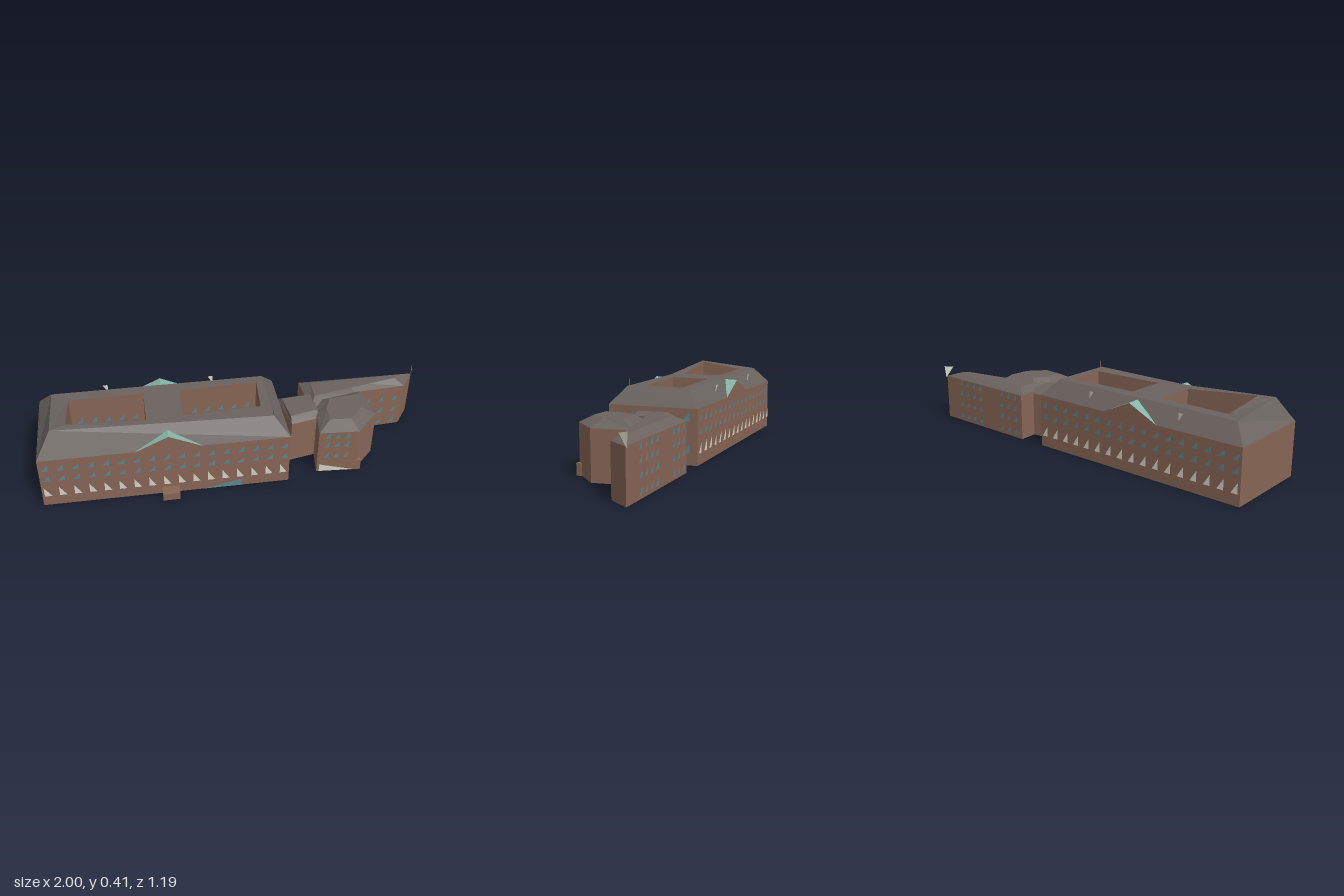
import * as THREE from 'three';

export function createModel() {
  const model = new THREE.Group();
  const mat = (name, color, double) => {
    const m = new THREE.MeshStandardMaterial({ color });
    m.name = name;
    m.flatShading = true;
    if (double) m.side = THREE.DoubleSide;
    return m;
  };
  const brick = mat('brownBrick', 0x876656);
  const slate = mat('greySlate', 0x6a635f);
  const copper = mat('greenCopper', 0x84b5a6, true);
  const glass = mat('blueGlass', 0x5c8791, true);
  const pale = mat('paleGlass', 0xd6d2c4, true);

  // Mesh made of convex polygons, each a list of [x, y, z] corners
  const faces = (parent, name, material, polys) => {
    const pos = [];
    for (const p of polys)
      for (let i = 1; i < p.length - 1; i++) pos.push(...p[0], ...p[i], ...p[i + 1]);
    const g = new THREE.BufferGeometry();
    g.setAttribute('position', new THREE.Float32BufferAttribute(pos, 3));
    g.computeVertexNormals();
    const m = new THREE.Mesh(g, material);
    m.name = name;
    parent.add(m);
    return m;
  };
  const ring = (pts, y) => pts.map(([x, z], i) => [x, Array.isArray(y) ? y[i] : y, z]);
  const band = (low, high) => low.map((p, i) => {
    const j = (i + 1) % low.length;
    return [p, high[i], high[j], low[j]];
  });
  const rev = (a) => [...a].reverse();
  const underside = (parent, name, outline, holes = []) => {
    const v = (a) => a.map(([x, z]) => new THREE.Vector2(x, z));
    const s = new THREE.Shape(v(outline));
    holes.forEach((h) => s.holes.push(new THREE.Path(v(h))));
    const m = new THREE.Mesh(new THREE.ShapeGeometry(s).rotateX(Math.PI / 2), brick);
    m.name = name;
    parent.add(m);
  };
  const box = (parent, name, material, size, at) => {
    const m = new THREE.Mesh(new THREE.BoxGeometry(...size), material);
    m.name = name;
    m.position.set(...at);
    parent.add(m);
    return m;
  };

  // Triangular panes along the wall from P to Q; ts are distances from P
  const panes = (parent, name, material, P, Q, ts, rows, w, h, flip) => {
    const L = Math.hypot(Q[0] - P[0], Q[1] - P[1]);
    const d = [(Q[0] - P[0]) / L, (Q[1] - P[1]) / L];
    const at = (t, y) => [P[0] + d[0] * t + d[1] * 0.004, y, P[1] + d[1] * t - d[0] * 0.004];
    const polys = [];
    for (const t of ts)
      for (const y of rows)
        polys.push(flip
          ? [at(t - w / 2, y), at(t + w / 2, y + h), at(t + w / 2, y)]
          : [at(t - w / 2, y), at(t - w / 2, y + h), at(t + w / 2, y)]);
    return faces(parent, name, material, polys);
  };
  const steps = (n, from, step) => Array.from({ length: n }, (_, i) => from + i * step);

  // ---- Main block, built square and then turned
  const main = new THREE.Group();
  main.name = 'mainBlock';
  main.position.set(-0.345, 0, -0.08);
  main.rotation.y = -0.511;
  model.add(main);

  const U = 0.614, V = 0.241;
  const outer = [[-U, -V], [U, -V], [U, V], [-U, V]];
  const ridge = [[-0.54, -0.17], [0.54, -0.17], [0.54, 0.17], [-0.54, 0.17]];
  const ridgeY = [0.37, 0.37, 0.37, 0.405];
  const courts = [
    [[-0.455, -0.105], [-0.08, -0.105], [-0.08, 0.113], [-0.465, 0.135]],
    [[0.105, -0.106], [0.505, -0.122], [0.49, 0.085], [0.1, 0.105]],
  ];
  const courtY = [[0.37, 0.37, 0.37, 0.405], 0.37];
  // Flat roof cells around each courtyard, with a strip over the cross wing
  const cells = [
    [[-0.54, -0.17], [-0.03, -0.17], [-0.03, 0.17], [-0.54, 0.17]],
    [[0.05, -0.17], [0.54, -0.17], [0.54, 0.17], [0.05, 0.17]],
  ];
  const [B, C, D, A] = outer;
  faces(main, 'outerWalls', brick, band(ring(outer, 0), ring(outer, 0.283)));
  faces(main, 'outerRoofSlopes', slate, band(ring(outer, 0.283), ring(ridge, ridgeY)));
  courts.forEach((c, i) => {
    faces(main, 'courtyardWalls', brick, band(rev(ring(c, 0)), rev(ring(c, courtY[i]))));
    faces(main, 'roofTop', slate,
      band(rev(ring(c, courtY[i])), rev(ring(cells[i], i ? 0.37 : ridgeY))));
    const [p, q, r, s] = c;
    panes(main, 'courtyardWindows', glass, q, p, steps(5, 0.05, 0.07), [0.155, 0.22], 0.03, 0.035);
    panes(main, 'courtyardWindows', glass, s, r, steps(5, 0.05, 0.07), [0.155, 0.22], 0.03, 0.035);
    panes(main, 'courtyardLowWindows', pale, q, p, steps(5, 0.05, 0.07), [0.06], 0.035, 0.055);
  });
  faces(main, 'crossWingRoof', slate,
    [[[-0.03, 0.37, -0.17], [-0.03, 0.37, 0.17], [0.05, 0.37, 0.17], [0.05, 0.37, -0.17]]]);
  underside(main, 'mainUnderside', outer, courts);

  // Window rows on the two long walls and the end by the annex
  for (const [P, Q, flip] of [[D, A, true], [B, C, false]]) {
    panes(main, 'upperWindows', glass, P, Q, steps(17, 0.03, 0.073), [0.155, 0.22], 0.034, 0.034);
    panes(main, 'groundWindows', pale, P, Q, steps(17, 0.03, 0.073), [0.06], 0.036, 0.056, flip);
  }
  panes(main, 'endWindows', glass, C, D, [0.36, 0.44], [0.07, 0.155, 0.22], 0.03, 0.036);
  panes(main, 'endLargeWindows', glass, C, D, [0.06], [0.06, 0.22], 0.04, 0.05);

  // Gables with copper roofs, front and back
  for (const s of [1, -1]) {
    const w = 0.165, z = s * (V + 0.003), c = 0.015;
    const l = [c - w, 0.283, z], r = [c + w, 0.283, z];
    const top = [c, 0.36, z], back = [c, 0.362, s * 0.172];
    faces(main, 'gableWall', brick, [s > 0 ? [l, r, top] : [r, l, top]]);
    faces(main, 'gableRoof', copper, [[l, top, back], [r, back, top]]);
  }

  // Small roof vents on the back slope
  for (const u of [-0.27, 0.276])
    faces(main, 'roofVent', pale,
      [[[u - 0.012, 0.362, -0.22], [u + 0.014, 0.362, -0.22], [u + 0.014, 0.322, -0.217]]]);

  // Front porch, wide low window and roof pole
  box(main, 'frontPorch', brick, [0.085, 0.04, 0.06], [0.013, 0.02, 0.268]);
  panes(main, 'lowWideWindow', glass, D, A, [0.34], [0.003], 0.2, 0.042);
  box(main, 'roofPole', slate, [0.004, 0.04, 0.004], [0.54, 0.387, 0.16]);

  // ---- Annex
  const annex = new THREE.Group();
  annex.name = 'annex';
  model.add(annex);
  const volume = (name, base, top, h, ridgeH) => {
    faces(annex, name + 'Walls', brick, band(ring(base, 0), ring(base, h)));
    faces(annex, name + 'Roof', slate,
      [...band(ring(base, h), ring(top, ridgeH)), rev(ring(top, ridgeH))]);
    underside(annex, name + 'Underside', base);
  };

  // Link to the main block
  volume('link', [[0.26, 0.11], [0.44, 0.19], [0.34, 0.37], [0.18, 0.32]],
    [[0.26, 0.15], [0.42, 0.22], [0.34, 0.33], [0.2, 0.29]], 0.24, 0.265);

  // Long wing with an oblique end
  const wing = [[0.44, 0.08], [0.99, 0.395], [0.87, 0.45], [0.62, 0.33], [0.34, 0.29]];
  volume('wing', wing,
    [[0.46, 0.15], [0.89, 0.385], [0.85, 0.395], [0.62, 0.27], [0.4, 0.25]], 0.25, 0.28);
  panes(annex, 'wingBackWindows', glass, wing[0], wing[1],
    [0.05, 0.105, 0.16, 0.34, 0.395, 0.45, 0.505], [0.02, 0.09, 0.155, 0.215], 0.028, 0.036);
  panes(annex, 'wingFrontWindows', glass, wing[2], wing[3],
    [0.05, 0.125, 0.2], [0.015, 0.09, 0.165], 0.032, 0.036);

  // Faceted front block
  const bay = [[0.42, 0.26], [0.65, 0.34], [0.57, 0.53], [0.4, 0.58], [0.23, 0.47], [0.33, 0.34]];
  volume('frontBay', bay,
    [[0.44, 0.32], [0.58, 0.38], [0.52, 0.47], [0.41, 0.51], [0.32, 0.45], [0.37, 0.37]], 0.25, 0.285);
  panes(annex, 'bayWindows', glass, bay[3], bay[4],
    [0.06, 0.11, 0.16], [0.09, 0.16, 0.215], 0.028, 0.036);
  panes(annex, 'bayLowWindow', pale, bay[3], bay[4], [0.1], [0.003], 0.18, 0.045, true);
  box(annex, 'bayStep', brick, [0.07, 0.06, 0.03], [0.4, 0.03, 0.565]).rotation.y = -0.57;

  // Pale fin at the tip of the wing
  faces(annex, 'tipFin', pale,
    [[[0.96, 0.3, 0.42], [1, 0.31, 0.385], [0.995, 0.24, 0.39]]]);
  return model;
}
